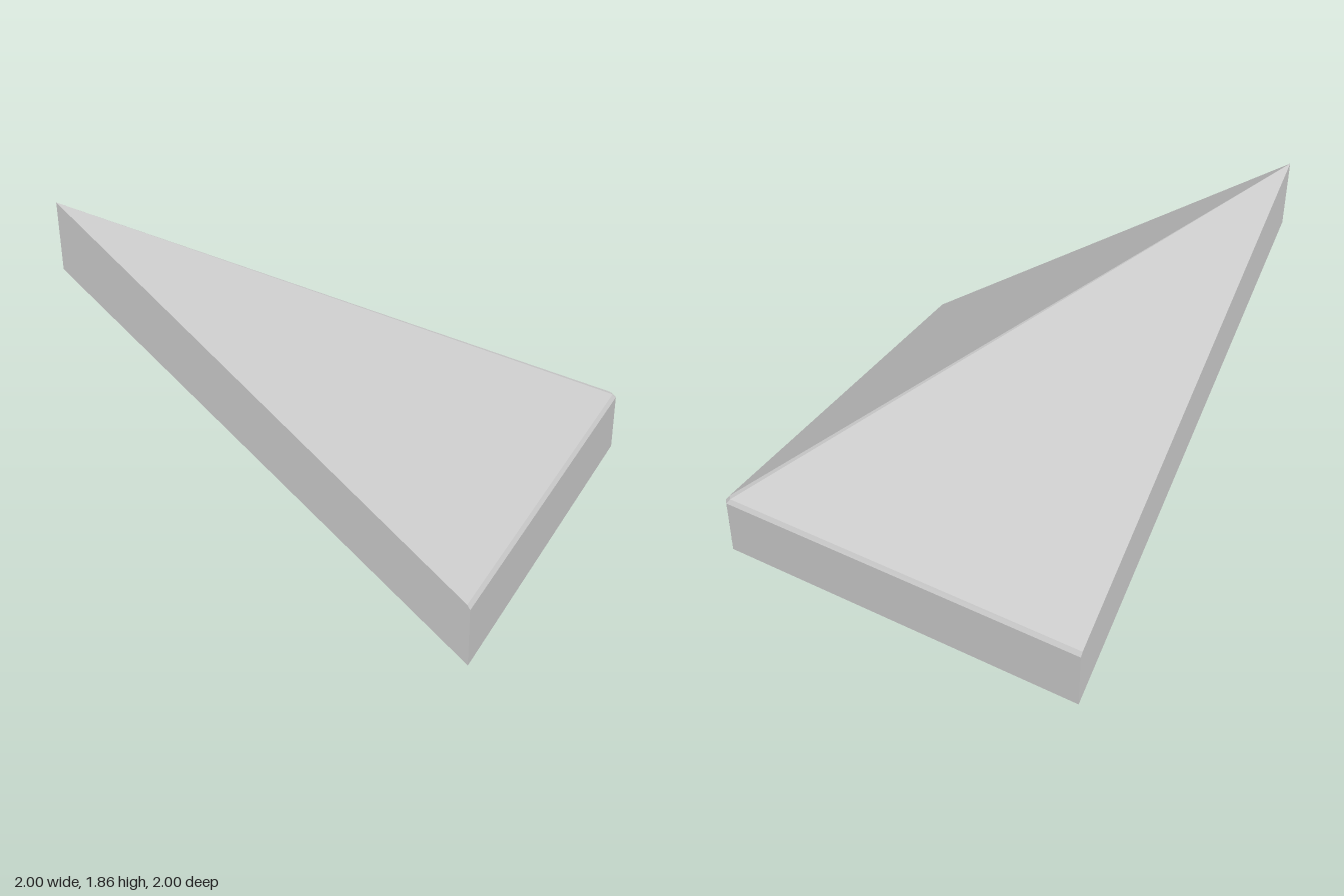
import * as THREE from 'three';
import { mergeGeometries } from 'three/addons/utils/BufferGeometryUtils.js';

const SLOPE = 0.745;
// height of the roof's underside at a distance from the eave (eave at d = 1)
const under = (d) => 0.05 + (1 - d) * SLOPE;

// Sweeps a convex profile (d, y), counterclockwise, round the L of the two eaves.
function hipSweep(profile, half, chamfer) {
  const pos = [], index = [];
  const stations = 4, n = profile.length;
  for (const [d, y] of profile) {
    const c = Math.min(chamfer, (d + half) / 2);
    pos.push(-half, y, -d, d - c, y, -d, d, y, c - d, d, y, half);
  }
  for (let i = 0; i < n; i++) {
    const p = i * stations, q = ((i + 1) % n) * stations;
    for (let s = 0; s < stations - 1; s++) {
      index.push(p + s + 1, p + s, q + s, p + s + 1, q + s, q + s + 1);
    }
    // end caps
    if (i > 0 && i < n - 1) index.push(3, p + 3, q + 3, 0, q, p);
  }
  const g = new THREE.BufferGeometry();
  g.setAttribute('position', new THREE.Float32BufferAttribute(pos, 3));
  g.setIndex(index);
  const flat = g.toNonIndexed();
  flat.computeVertexNormals();
  return flat;
}

// Hipped sheet lying between two offsets from the underside
function hipSheet(half, top, bottom) {
  return hipSweep([
    [half, under(half) + bottom], [half, under(half) + top],
    [-half, under(-half) + top], [-half, under(-half) + bottom],
  ], half, 0);
}

// Ceiling panel running from the eave up to the hip, a..b along the eave
function panel(a, b, side) {
  const g = new THREE.BoxGeometry(1, 1, 1).toNonIndexed();
  const p = g.attributes.position;
  for (let i = 0; i < p.count; i++) {
    const s = p.getZ(i) > 0 ? b : a;
    const d = p.getX(i) > 0 ? 0.775 : (side === 0 ? -s : s);
    const y = under(d) - (p.getY(i) > 0 ? 0.16 : 0.2);
    if (side === 0) p.setXYZ(i, d, y, s);
    else p.setXYZ(i, s, y, -d);
  }
  g.computeVertexNormals();
  return g;
}

function seeded(seed) {
  return () => {
    seed = (seed * 16807) % 2147483647;
    return seed / 2147483647;
  };
}

// Rough upright splinters round all four sides of the filling
function splinters(half) {
  const rand = seeded(77), parts = [], count = 46;
  for (let side = 0; side < 4; side++) {
    for (let i = 0; i < count; i++) {
      const s = -half + 0.025 + (i / (count - 1)) * (2 * half - 0.05);
      const g = new THREE.BoxGeometry(0.012 + rand() * 0.016, 0.1 + rand() * 0.03, 0.02 + rand() * 0.015);
      g.rotateZ((rand() - 0.5) * 0.35);
      const sloped = side < 2;
      const y = under(sloped ? s : half) - 0.07;
      if (side === 0) g.translate(s, y, half);
      else if (side === 1) g.rotateY(Math.PI / 2).translate(-half, y, -s);
      else if (side === 2) g.rotateY(Math.PI / 2).translate(half, y, s);
      else g.translate(s, y, -half);
      parts.push(g);
    }
  }
  return mergeGeometries(parts);
}

export function createModel() {
  const group = new THREE.Group();
  const material = new THREE.MeshStandardMaterial({ color: 0xcccccc, flatShading: true });
  const add = (name, geometry) => {
    const mesh = new THREE.Mesh(geometry, material);
    mesh.name = name;
    group.add(mesh);
    return mesh;
  };

  // thick outer covering with softened eave and hip edges
  add('roofSlab', hipSweep([
    [1, under(1)], [1, 0.358], [0.985, 0.381], [-1, 1.86], [-1, under(-1)],
  ], 1, 0.02));

  // rough filling between two thin rims
  add('fillingCore', hipSheet(0.785, 0, -0.14));
  add('upperRim', hipSheet(0.805, 0, -0.014));
  add('lowerRim', hipSheet(0.805, -0.126, -0.142));
  add('fillingSplinters', splinters(0.79));

  // loose splinter hanging at the low corner
  const splinter = new THREE.ConeGeometry(0.012, 0.1, 4);
  splinter.rotateX(Math.PI).translate(0.805, 0.05, 0.79);
  add('looseSplinter', splinter);

  // ceiling board with raised panels on both slopes
  add('ceilingBoard', hipSheet(0.775, -0.14, -0.172));
  for (const side of [0, 1]) {
    for (const [a, b] of [[-0.775, -0.215], [-0.09, 0.09], [0.215, 0.775]]) {
      add('ceilingPanel', panel(a, b, side));
    }
  }
  // edge trim along the two open sides of the ceiling
  for (const side of [0, 1]) {
    const trim = side === 0 ? panel(0.755, 0.775, 0) : panel(-0.775, -0.755, 1);
    add('ceilingEdge', trim);
  }
  return group;
}
